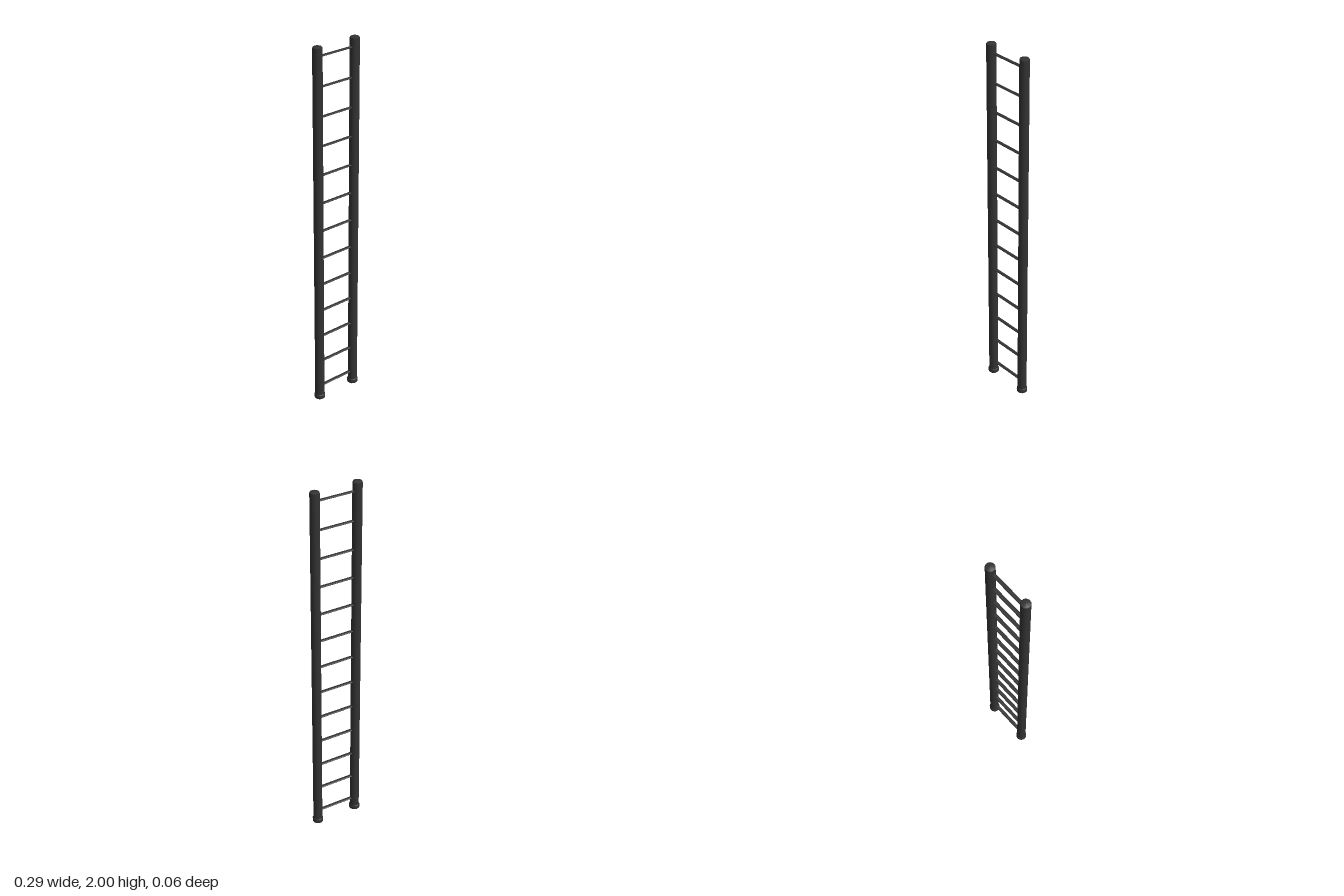
import * as THREE from 'three';

const RAIL_X = 0.117;
const RUNGS = 13;

export function createModel() {
  const group = new THREE.Group();
  group.name = 'ladder';
  const material = new THREE.MeshStandardMaterial({ color: 0x333333 });

  const add = (name, geometry, x, y) => {
    const mesh = new THREE.Mesh(geometry, material);
    mesh.name = name;
    mesh.position.set(x, y, 0);
    group.add(mesh);
  };

  // Turned solid with smooth normals running over its ends
  const turned = (points) =>
    new THREE.LatheGeometry(points.map(([r, y]) => new THREE.Vector2(r, y)), 14);

  // Round rail with a barely domed top, and a wider foot cap
  const rail = turned([[0.025, 0.01], [0.025, 1.992], [0.022, 1.998], [0, 2]]);
  const foot = turned([[0, 0], [0.026, 0], [0.029, 0.003], [0.029, 0.022], [0.025, 0.027]]);
  for (const [side, x] of [['left', RAIL_X], ['right', -RAIL_X]]) {
    add(side + 'Rail', rail, x, 0);
    add(side + 'Foot', foot, x, 0);
  }

  // Flattened round rungs, ends buried in the rails
  const rung = new THREE.CylinderGeometry(0.01, 0.01, 2 * RAIL_X, 12)
    .rotateZ(Math.PI / 2)
    .scale(1, 0.42, 1);
  for (let i = 0; i < RUNGS; i++) {
    add('rung' + (i + 1), rung, 0, 0.073 + i * 0.1563);
  }

  return group;
}
